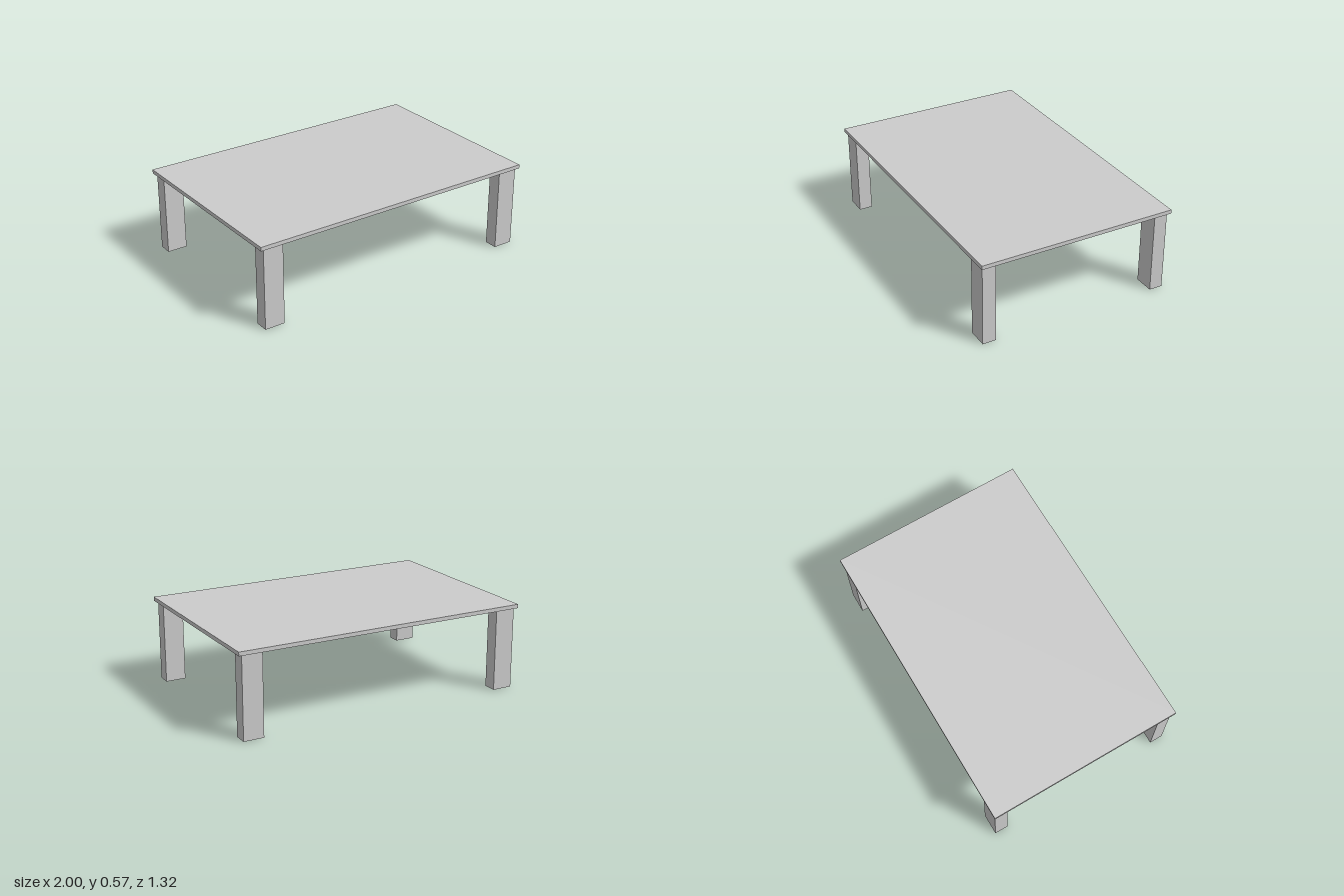
import * as THREE from 'three';

const TOP = { width: 2, depth: 1.32, thickness: 0.026 };
const LEG = { width: 0.136, depth: 0.09, height: 0.542, x: 0.908, z: 0.601 };

export function createModel() {
  const table = new THREE.Group();
  table.name = 'table';
  const material = new THREE.MeshStandardMaterial({ color: 0xcccccc });

  // Box standing on height y
  const addBox = (name, w, h, d, x, y, z) => {
    const mesh = new THREE.Mesh(new THREE.BoxGeometry(w, h, d), material);
    mesh.name = name;
    mesh.position.set(x, y + h / 2, z);
    table.add(mesh);
  };

  // Thin overhanging slab
  addBox('tabletop', TOP.width, TOP.thickness, TOP.depth, 0, LEG.height, 0);

  // Four rectangular legs, one near each corner
  for (const [side, sx] of [['Left', 1], ['Right', -1]]) {
    for (const [end, sz] of [['front', 1], ['back', -1]]) {
      addBox(`${end}${side}Leg`, LEG.width, LEG.height, LEG.depth, sx * LEG.x, 0, sz * LEG.z);
    }
  }
  return table;
}
